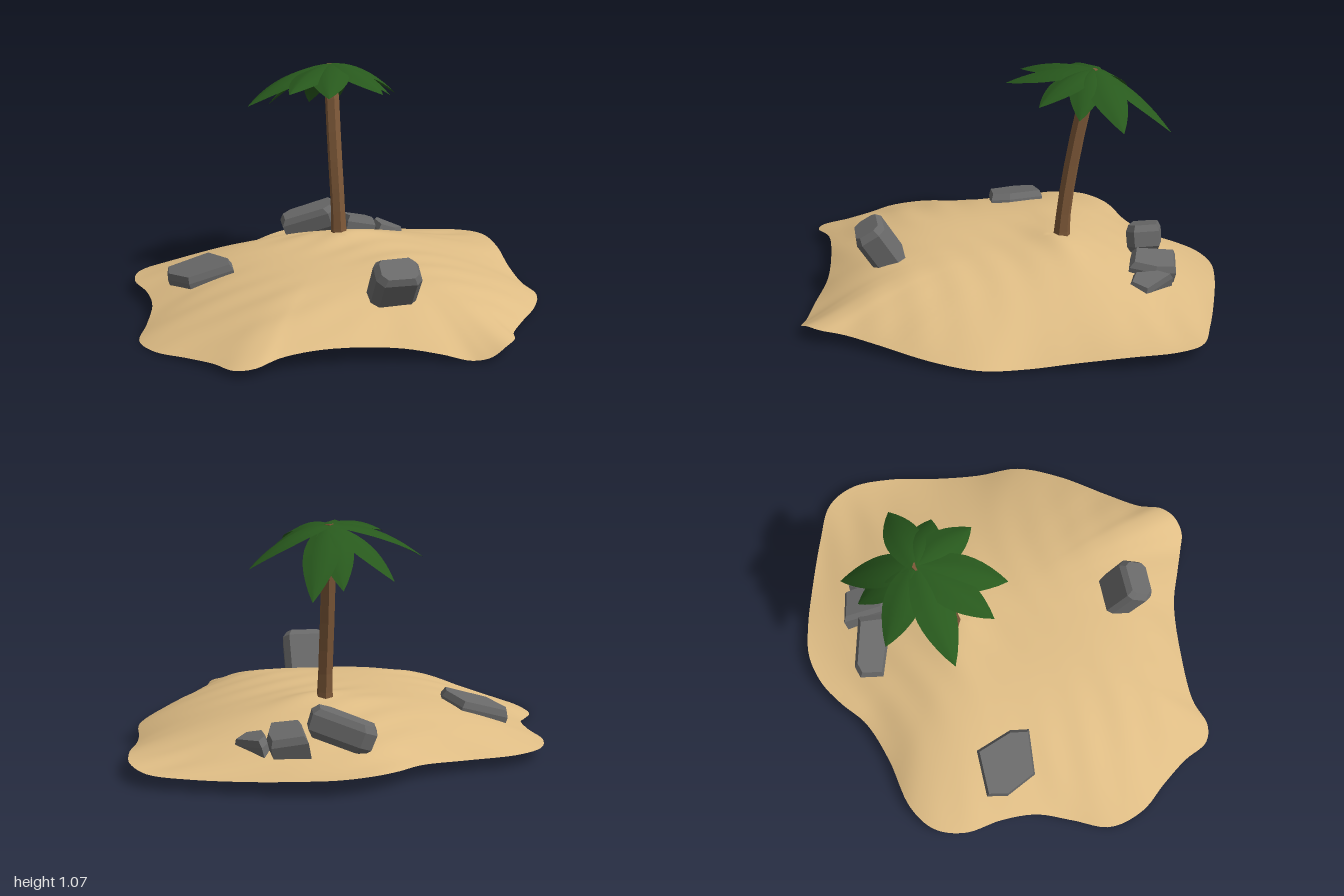
import * as THREE from 'three';
import { ConvexGeometry } from 'three/addons/geometries/ConvexGeometry.js';

const V = (x, y, z) => new THREE.Vector3(x, y, z);
const sandMat = new THREE.MeshStandardMaterial({ color: 0xdfbd85, side: THREE.DoubleSide });
const rockMat = new THREE.MeshStandardMaterial({ color: 0x6a6a6a, flatShading: true });
const barkMat = new THREE.MeshStandardMaterial({ color: 0x7d5838, flatShading: true });
const nutMat = new THREE.MeshStandardMaterial({ color: 0x4a3020, flatShading: true });
const leafMat = new THREE.MeshStandardMaterial({ color: 0x28591d, side: THREE.DoubleSide });

function named(mesh, name) {
  mesh.name = name;
  return mesh;
}

// Indexed grid of points: rows x cols
function gridGeometry(rows, cols, point) {
  const pos = [], idx = [];
  for (let i = 0; i < rows; i++) for (let j = 0; j < cols; j++) pos.push(...point(i, j).toArray());
  for (let i = 0; i < rows - 1; i++) for (let j = 0; j < cols - 1; j++) {
    const a = i * cols + j, b = a + 1, c = a + cols, d = c + 1;
    idx.push(a, b, c, b, d, c);
  }
  const g = new THREE.BufferGeometry();
  g.setAttribute('position', new THREE.Float32BufferAttribute(pos, 3));
  g.setIndex(idx);
  g.computeVertexNormals();
  return g;
}

// Shoreline points: x, y, z
const shore = [
  [0.3, 0.015, 0.95], [0.38, 0.03, 0.977], [0.46, 0.065, 0.955], [0.52, 0.07, 0.9], [0.56, 0.06, 0.8],
  [0.66, 0.05, 0.66], [0.82, 0.035, 0.45], [0.92, 0.025, 0.25], [0.93, 0.02, 0.05], [0.95, 0.04, -0.15],
  [0.99, 0.07, -0.4], [0.99, 0.075, -0.6], [0.92, 0.065, -0.73], [0.75, 0.06, -0.81], [0.5, 0.065, -0.9],
  [0.3, 0.075, -0.96], [0.15, 0.08, -0.983], [0, 0.08, -0.95], [-0.12, 0.075, -0.88], [-0.25, 0.07, -0.78],
  [-0.45, 0.06, -0.71], [-0.7, 0.06, -0.66], [-0.83, 0.06, -0.57], [-0.88, 0.06, -0.43], [-0.86, 0.06, -0.25],
  [-0.87, 0.05, -0.08], [-0.93, 0.02, 0.08], [-1, 0.005, 0.25], [-0.96, 0.01, 0.42], [-0.86, 0.02, 0.55],
  [-0.77, 0.03, 0.68], [-0.71, 0.035, 0.8], [-0.63, 0.045, 0.83], [-0.5, 0.065, 0.79], [-0.3, 0.08, 0.79],
  [0, 0.065, 0.83], [0.18, 0.04, 0.9],
];

// Dome with a broad front plateau, a crest at the palm and faint ripples
function sandHeight(x, z) {
  const dx = x - 0.1, dz = z + 0.2;
  const across = dx < 0 ? (-dx / 0.935) ** 3 : (dx / 0.79) ** 2.2;
  const along = dz > 0 ? (dz / 1.06) ** 5.5 : (-dz / 0.63) ** 2.2;
  const crest = 0.026 * Math.exp(-(((x - 0.13) / 0.22) ** 2) - ((z + 0.25) / 0.13) ** 2);
  const ripple = 0.003 * Math.sin(32 * z + 9 * x + 2 * Math.sin(5 * x)) * (0.5 + 0.5 * Math.sin(6 * x - 4 * z));
  return 0.243 * Math.exp(-across - along) + crest + ripple;
}

// Open sand sheet: spokes from the summit, easing to the shoreline height
function makeSand() {
  const rings = 44, spokes = 180, cx = 0.1, cz = -0.2;
  const edge = new THREE.CatmullRomCurve3(shore.map(p => V(...p)), true).getPoints(spokes);
  const g = gridGeometry(spokes + 1, rings + 1, (i, j) => {
    const e = edge[i % spokes], t = j / rings;
    const x = cx + (e.x - cx) * t, z = cz + (e.z - cz) * t;
    return V(x, sandHeight(x, z) + (e.y - sandHeight(e.x, e.z)) * t ** 5, z);
  });
  // Same normals on both sides of the seam, and at the summit
  const n = g.attributes.normal, v = V(0, 0, 0), w = V(0, 0, 0), last = spokes * (rings + 1);
  for (let j = 1; j <= rings; j++) {
    v.fromBufferAttribute(n, j).add(w.fromBufferAttribute(n, last + j)).normalize();
    n.setXYZ(j, v.x, v.y, v.z);
    n.setXYZ(last + j, v.x, v.y, v.z);
  }
  for (let i = 0; i <= spokes; i++) n.setXYZ(i * (rings + 1), 0, 1, 0);
  return named(new THREE.Mesh(g, sandMat), 'sandMound');
}

// Bevelled stone from a plan outline (x, z) and a height
function makeRock(name, outline, height, at, rot, topInset = 0.84) {
  const h = height / 2, bevel = 0.03, pts = [];
  for (const [y, s] of [[-h, 0.8], [-h + bevel, 0.98], [h - bevel, 1], [h, topInset]]) {
    for (const [x, z] of outline) pts.push(V(x * s, y, z * s));
  }
  const m = new THREE.Mesh(new ConvexGeometry(pts), rockMat);
  m.position.set(...at);
  m.rotation.set(...rot);
  return named(m, name);
}

// Leaning six-sided trunk, flared at the foot
function makeTrunk() {
  const g = new THREE.CylinderGeometry(1, 1, 1, 6, 7);
  const path = new THREE.CatmullRomCurve3([V(0.1, 0.2, -0.262), V(0.097, 0.4, -0.278), V(0.094, 0.7, -0.325), V(0.1, 1.068, -0.4)]);
  const p = g.attributes.position;
  for (let i = 0; i < p.count; i++) {
    const t = p.getY(i) + 0.5, c = path.getPoint(t);
    const r = 0.035 + 0.01 * Math.max(0, 1 - t * 5) - 0.012 * Math.max(0, t * 7 - 6);
    p.setXYZ(i, c.x + p.getX(i) * r, c.y, c.z + p.getZ(i) * r);
  }
  return named(new THREE.Mesh(g, barkMat), 'trunk');
}

// Arched pointed leaf, slightly folded along its midrib
function makeLeaf(tip, halfWidth) {
  const base = V(0.1, 1.07, -0.4);
  const ctrl = base.clone().lerp(tip, 0.5);
  ctrl.y = Math.min(1.085, ctrl.y + 0.09);
  const curve = new THREE.QuadraticBezierCurve3(base, ctrl, tip);
  const side = V(tip.z - base.z, 0, base.x - tip.x).normalize();
  const n = 10;
  const g = gridGeometry(n + 1, 5, (i, j) => {
    const s = i / n, w = i === n ? 0 : halfWidth * Math.sin(Math.PI * (0.12 + 0.88 * s)) ** 0.9;
    const k = (j / 2 - 1) * w;
    return curve.getPoint(s).addScaledVector(side, k).add(V(0, -0.33 * Math.abs(k), 0));
  });
  return named(new THREE.Mesh(g, leafMat), 'leaf');
}

function makePalm() {
  const palm = named(new THREE.Group(), 'palm');
  palm.add(makeTrunk());
  const tips = [
    [0.22, 0.785, -0.745, 0.08], [0.46, 0.885, -0.465, 0.085], [0.365, 0.92, -0.285, 0.08],
    [0.27, 0.96, -0.12, 0.085], [-0.03, 0.98, -0.02, 0.09], [-0.19, 0.99, -0.12, 0.085],
    [-0.335, 0.9, -0.33, 0.09], [-0.155, 0.84, -0.61, 0.085], [0.08, 0.82, -0.69, 0.08],
  ];
  for (const [x, y, z, w] of tips) palm.add(makeLeaf(V(x, y, z), w));
  // Nuts under the crown
  for (let i = 0; i < 4; i++) {
    const a = i * Math.PI / 2 + 0.6;
    const nut = new THREE.Mesh(new THREE.IcosahedronGeometry(0.024, 0), nutMat);
    nut.position.set(0.1 + 0.036 * Math.cos(a), 1.015, -0.385 + 0.036 * Math.sin(a));
    palm.add(named(nut, 'nut'));
  }
  return palm;
}

export function createModel() {
  const model = named(new THREE.Group(), 'island');
  model.add(makeSand(), makePalm());
  model.add(
    makeRock('frontRock',
      [[-0.08, -0.075], [0.08, -0.075], [0.108, -0.04], [0.1, 0.05], [0.07, 0.075], [-0.08, 0.07], [-0.108, 0.03], [-0.1, -0.05]],
      0.25, [0.075, 0.25, 0.583], [0.56, 0, 0], 0.8),
    makeRock('rightRock',
      [[-0.13, -0.13], [0.09, -0.13], [0.15, 0.045], [0.135, 0.135], [-0.08, 0.115], [-0.15, -0.035]],
      0.12, [-0.615, 0.135, -0.165], [0, 0, 0.26], 0.92),
    makeRock('backRockLong',
      [[-0.15, -0.05], [-0.1, -0.08], [0.14, -0.075], [0.16, 0.04], [0.1, 0.08], [-0.14, 0.06]],
      0.13, [0.08, 0.21, -0.67], [0.1, -0.25, 0.35]),
    makeRock('backRockWide',
      [[-0.08, -0.12], [0.08, -0.09], [0.09, 0.01], [0.06, 0.13], [-0.075, 0.09]],
      0.17, [0.31, 0.135, -0.65], [-0.15, 0, -0.2]),
    makeRock('backRockSmall',
      [[-0.03, -0.11], [0.075, 0.04], [0.01, 0.11], [-0.065, 0.07], [-0.065, -0.05]],
      0.13, [0.457, 0.115, -0.61], [0, 0, -0.25]),
  );
  return model;
}
